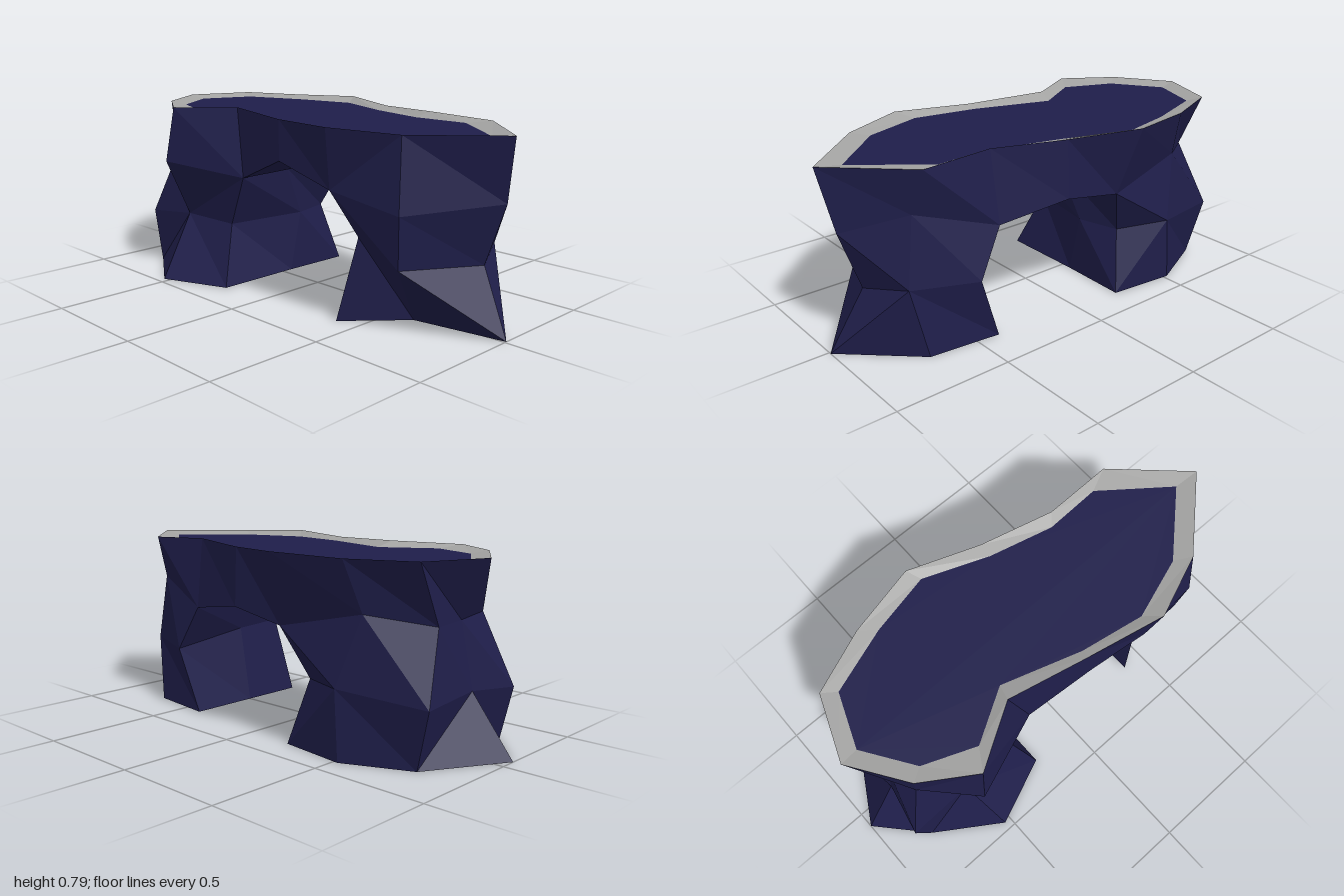
import * as THREE from 'three';

// The rock is an open shell, visible from below as well
const navy = new THREE.MeshStandardMaterial({ color: 0x1f1e4a, flatShading: true, side: THREE.DoubleSide });
navy.name = 'navy rock';
const grey = new THREE.MeshStandardMaterial({ color: 0xa4a4a3, flatShading: true });
grey.name = 'grey rim';

// All rings run counter-clockwise seen from above: front, +x, back, -x.
const TOP = [
  [-0.54, 0.78, 0.375], [-0.28, 0.79, 0.22], [0.08, 0.78, 0.30], [0.42, 0.79, 0.375], [0.70, 0.78, 0.265],
  [1.00, 0.78, -0.01], [0.71, 0.78, -0.285], [0.40, 0.79, -0.275], [0.08, 0.78, -0.36], [-0.23, 0.79, -0.47],
  [-0.54, 0.78, -0.40], [-0.81, 0.78, -0.29], [-0.92, 0.78, -0.01], [-0.76, 0.78, 0.23],
];
const POOL = [
  [-0.48, 0.28], [-0.26, 0.15], [0.08, 0.26], [0.36, 0.31], [0.63, 0.22], [0.89, -0.02], [0.61, -0.24],
  [0.36, -0.23], [0.08, -0.30], [-0.20, -0.41], [-0.47, -0.35], [-0.75, -0.25], [-0.84, -0.02], [-0.70, 0.19],
].map(([x, z]) => [x, 0.765, z]);

// Leg rings, from the ground up
const WIDE_LEG = [
  [[-0.53, 0, 0.467], [-0.23, 0, 0.345], [-0.23, 0, -0.05], [-0.22, 0, -0.365],
    [-0.52, 0, -0.398], [-0.80, 0, -0.27], [-1.00, 0, 0.07], [-0.81, 0, 0.28]],
  [[-0.58, 0.27, 0.275], [-0.31, 0.26, 0.24], [-0.23, 0.27, -0.11], [-0.28, 0.27, -0.295],
    [-0.50, 0.285, -0.395], [-0.87, 0.25, -0.30], [-0.82, 0.25, 0.05], [-0.87, 0.235, 0.275]],
  [[-0.57, 0.535, 0.404], [-0.20, 0.49, 0.26], [-0.20, 0.50, 0], [-0.19, 0.485, -0.375],
    [-0.58, 0.57, -0.33], [-0.81, 0.53, -0.17], [-0.78, 0.53, 0.02], [-0.76, 0.54, 0.20]],
];
const STAR_LEG = [
  [[0.40, 0, 0.29], [0.61, 0, 0.06], [1.00, 0, -0.01], [0.71, 0, -0.28], [0.40, 0, -0.315], [0.40, 0, 0]],
  [[0.47, 0.35, 0.24], [0.70, 0.27, 0.27], [0.86, 0.26, -0.05], [0.77, 0.295, -0.245],
    [0.50, 0.285, -0.342], [0.46, 0.34, 0]],
  [[0.40, 0.54, 0.33], [0.72, 0.485, 0.295], [0.95, 0.515, -0.05], [0.73, 0.59, -0.225],
    [0.39, 0.485, -0.317], [0.42, 0.46, 0]],
];

// Triangles joining ring a (lower or outer) to ring b; flips lists quads split the other way
function band(a, b, flips = [], closed = true) {
  const out = [];
  const n = a.length;
  for (let i = 0; i < (closed ? n : n - 1); i++) {
    const j = (i + 1) % n;
    if (flips.includes(i)) out.push(a[i], a[j], b[j], a[i], b[j], b[i]);
    else out.push(a[i], a[j], b[i], a[j], b[j], b[i]);
  }
  return out;
}

// Flat polygon facing up
function cap(ring) {
  const contour = ring.map(([x, , z]) => new THREE.Vector2(x, -z));
  return THREE.ShapeUtils.triangulateShape(contour, []).flat().map((i) => ring[i]);
}

function makeMesh(name, points, material) {
  const geometry = new THREE.BufferGeometry();
  geometry.setAttribute('position', new THREE.Float32BufferAttribute(points.flat(), 3));
  geometry.computeVertexNormals();
  const mesh = new THREE.Mesh(geometry, material);
  mesh.name = name;
  return mesh;
}

// Open-bottomed leg of two bands
function makeLeg(name, [foot, knee, shoulder], lowerFlips, upperFlips) {
  return makeMesh(name, [...band(foot, knee, lowerFlips), ...band(knee, shoulder, upperFlips)], navy);
}

export function createModel() {
  const group = new THREE.Group();
  group.name = 'rockArch';
  const w = WIDE_LEG[2];
  const s = STAR_LEG[2];

  // Legs
  group.add(makeLeg('wideLeg', WIDE_LEG, [3, 5, 7], [0]), makeLeg('starLeg', STAR_LEG, [2], []));

  // Outer wall of the bridge, from the leg tops to the rim
  const archFront = [0.09, 0.61, 0.31];
  const archBack = [0.08, 0.53, -0.37];
  const eave = [w[0], w[1], archFront, ...s.slice(0, 5), archBack, ...w.slice(3)];
  group.add(makeMesh('bridgeWall', band(eave, TOP, [1, 3, 13]), navy));

  // Underside of the arch
  const front = [w[1], archFront, s[0]];
  const middle = [w[2], [0.08, 0.57, 0], s[5]];
  const back = [w[3], archBack, s[4]];
  group.add(makeMesh('archUnderside', [
    ...band(back, middle, [], false), ...band(middle, front, [], false),
  ], navy));

  // Rim sloping down to the sunken top
  group.add(makeMesh('rim', band(TOP, POOL), grey));
  group.add(makeMesh('sunkenTop', cap(POOL), navy));
  return group;
}
